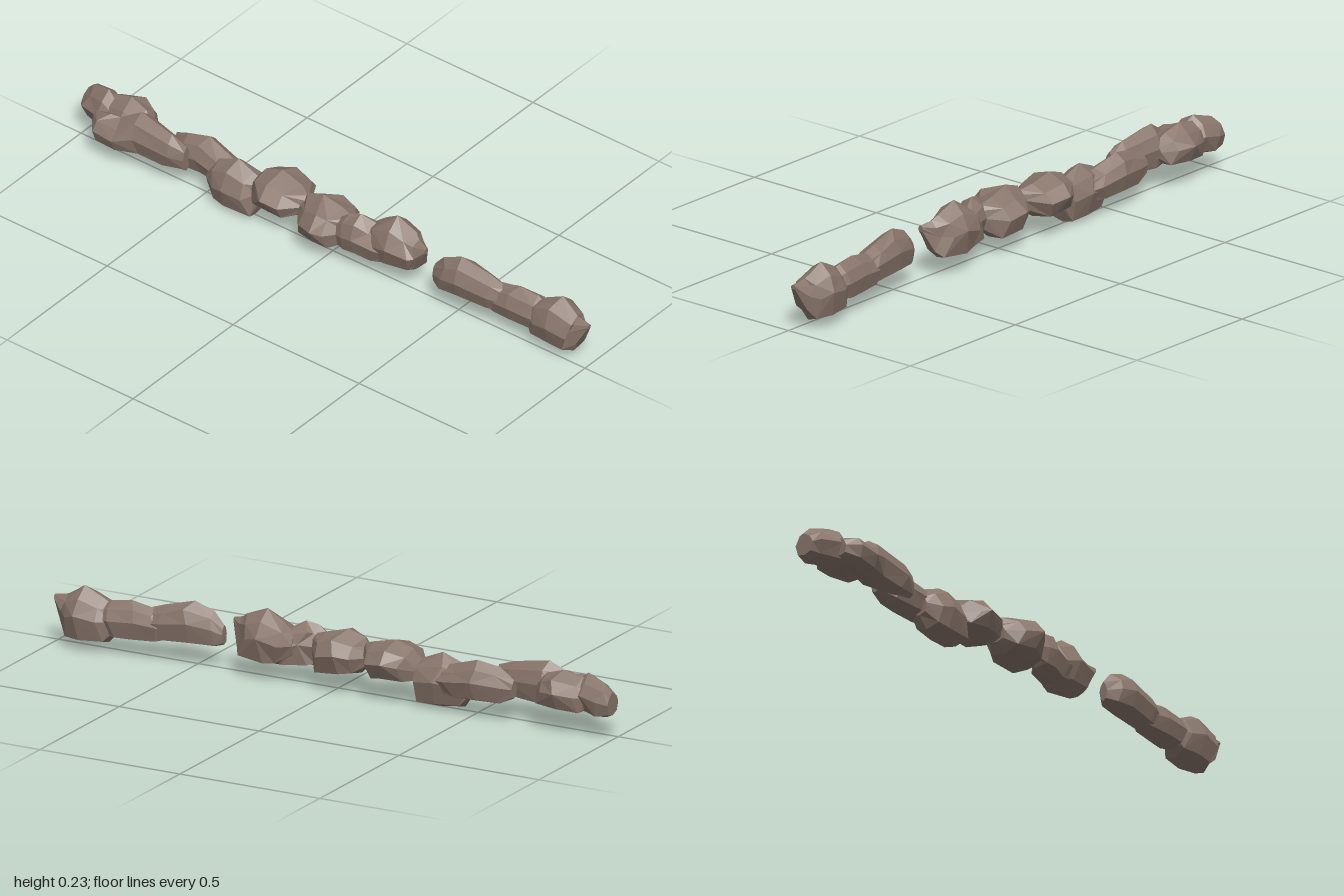
import * as THREE from 'three';

const stone = new THREE.MeshStandardMaterial({ color: 0x87746a, flatShading: true });
stone.name = 'brownStone';

// unit cross-section [z, y], from the back over the top ridge to the front and under
const SECTION = [[-1, 0.05], [-0.72, 0.66], [-0.08, 1], [0.66, 0.68], [1, 0], [0.78, -0.8], [0, -1], [-0.76, -0.86]];

function seeded(seed) {
  let s = seed * 7919 + 17;
  return () => (s = (s * 16807) % 2147483647) / 2147483647;
}

// faceted boulder lofted along x; each station is [x, yLow, yHigh, zBack, zFront]
function rock(name, seed, stations) {
  const rnd = seeded(seed), n = SECTION.length, last = stations.length - 1;
  const rings = stations.map(([x, y0, y1, z0, z1], i) => SECTION.map(([z, y]) => {
    const shrink = 1 - 0.1 * rnd();
    const slide = i === 0 || i === last ? 0 : (rnd() - 0.5) * 0.035;
    return [x + slide,
      (y0 + y1) / 2 + y * (Math.abs(y) === 1 ? 1 : shrink) * (y1 - y0) / 2,
      (z0 + z1) / 2 + z * (Math.abs(z) === 1 ? 1 : shrink) * (z1 - z0) / 2];
  }));
  const centre = ([x, y0, y1, z0, z1]) => [x, (y0 + y1) / 2, (z0 + z1) / 2];
  const first = centre(stations[0]), end = centre(stations[last]);
  const pos = [];
  const tri = (a, b, c) => pos.push(...a, ...b, ...c);
  for (let k = 0; k < n; k++) {
    const j = (k + 1) % n;
    for (let i = 0; i < last; i++) {
      const a = rings[i][k], b = rings[i][j], c = rings[i + 1][k], d = rings[i + 1][j];
      if ((i + k) % 2) { tri(a, b, c); tri(b, d, c); }
      else { tri(a, b, d); tri(a, d, c); }
    }
    tri(first, rings[0][j], rings[0][k]);
    tri(end, rings[last][k], rings[last][j]);
  }
  const geo = new THREE.BufferGeometry();
  geo.setAttribute('position', new THREE.Float32BufferAttribute(pos, 3));
  geo.computeVertexNormals();
  const mesh = new THREE.Mesh(geo, stone);
  mesh.name = name;
  return mesh;
}

export function createModel() {
  const group = new THREE.Group();
  group.name = 'rockRow';
  const rocks = {
    // cluster at the right-hand end
    endRock: [[-1, 0.08, 0.155, -0.07, 0], [-0.97, 0.07, 0.18, -0.082, 0.02], [-0.91, 0.07, 0.2, -0.075, 0.045], [-0.85, 0.08, 0.16, -0.05, 0.04]],
    backClusterRock: [[-0.92, 0.09, 0.16, -0.06, 0.01], [-0.88, 0.07, 0.185, -0.085, 0.04], [-0.82, 0.07, 0.2, -0.105, 0.05], [-0.76, 0.08, 0.18, -0.085, 0.04], [-0.73, 0.1, 0.15, -0.04, 0.02]],
    longFrontRock: [[-0.91, 0.09, 0.15, 0.02, 0.06], [-0.86, 0.07, 0.17, 0, 0.1], [-0.8, 0.06, 0.165, -0.02, 0.1], [-0.73, 0.06, 0.205, -0.035, 0.075], [-0.62, 0.06, 0.18, -0.01, 0.065], [-0.56, 0.07, 0.16, 0.01, 0.045]],
    longBackRock: [[-0.65, 0.08, 0.14, -0.055, -0.02], [-0.6, 0.05, 0.17, -0.065, 0.02], [-0.53, 0.05, 0.185, -0.085, 0.02], [-0.43, 0.05, 0.155, -0.075, 0.03], [-0.33, 0.06, 0.13, -0.05, 0.01], [-0.3, 0.08, 0.12, -0.03, 0]],
    // upright boulders and slabs in the middle
    lowBoulder: [[-0.48, 0.05, 0.12, -0.03, 0.03], [-0.45, 0.01, 0.15, -0.05, 0.06], [-0.38, 0, 0.18, -0.07, 0.07], [-0.31, 0.005, 0.155, -0.06, 0.06], [-0.285, 0.06, 0.14, -0.03, 0.02]],
    wideBoulder: [[-0.31, 0.08, 0.14, -0.04, 0.02], [-0.27, 0.07, 0.18, -0.09, 0.065], [-0.21, 0.07, 0.2, -0.115, 0.085], [-0.15, 0.07, 0.18, -0.1, 0.075], [-0.1, 0.1, 0.165, -0.02, 0.02]],
    frontBoulder: [[-0.11, 0.09, 0.15, -0.03, 0.04], [-0.08, 0.06, 0.18, -0.07, 0.09], [-0.02, 0.06, 0.2, -0.095, 0.115], [0.04, 0.05, 0.18, -0.085, 0.09], [0.085, 0.08, 0.165, -0.02, 0.03]],
    middleSlab: [[0.03, 0.08, 0.15, 0, 0.05], [0.07, 0.055, 0.19, -0.02, 0.065], [0.11, 0.055, 0.2, -0.04, 0.065], [0.18, 0.05, 0.175, -0.06, 0.05], [0.26, 0.07, 0.15, -0.04, 0.03]],
    peakedBoulder: [[0.14, 0.09, 0.16, -0.05, 0.01], [0.18, 0.05, 0.195, -0.08, 0.045], [0.24, 0.05, 0.23, -0.09, 0.055], [0.31, 0.06, 0.2, -0.075, 0.04], [0.335, 0.08, 0.185, -0.045, 0.025], [0.37, 0.155, 0.175, -0.01, 0.01]],
    // separate group beyond the gap
    taperedSlab: [[0.41, 0.075, 0.14, -0.01, 0.02], [0.45, 0.065, 0.18, -0.03, 0.045], [0.52, 0.065, 0.205, -0.05, 0.052], [0.62, 0.06, 0.18, -0.055, 0.035], [0.7, 0.07, 0.15, -0.04, 0.01]],
    lowSlab: [[0.59, 0.07, 0.13, -0.03, 0.01], [0.64, 0.055, 0.16, -0.055, 0.025], [0.71, 0.05, 0.178, -0.065, 0.03], [0.78, 0.05, 0.17, -0.075, 0.025], [0.86, 0.07, 0.14, -0.05, 0.01]],
    tippedBoulder: [[0.77, 0.07, 0.14, -0.05, 0.01], [0.81, 0.03, 0.175, -0.085, 0.03], [0.88, 0.025, 0.205, -0.1, 0.04], [0.935, 0.025, 0.175, -0.08, 0.03], [0.955, 0.06, 0.165, -0.055, 0.01], [1, 0.14, 0.155, -0.03, -0.01]],
  };
  Object.entries(rocks).forEach(([name, stations], i) => group.add(rock(name, i + 1, stations)));
  return group;
}
